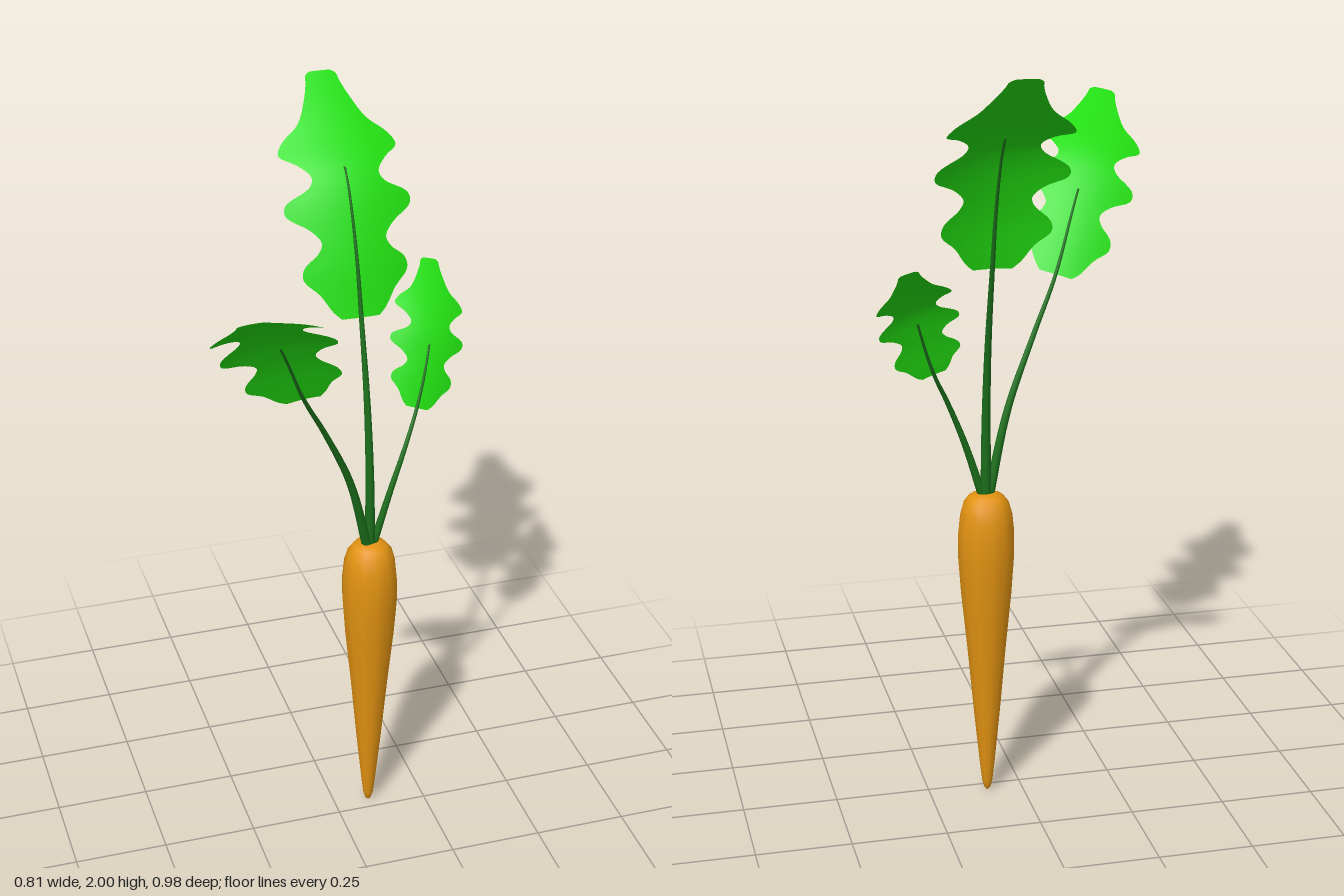
import * as THREE from 'three';

const V = (p) => new THREE.Vector3(...p);
const material = (color, side = THREE.FrontSide) => new THREE.MeshStandardMaterial({ color, side });

// Half-width of a full-size leaf along its length: [position, half-width], three pairs of lobes
const OUTLINE = [[0, 0.05], [0.03, 0.07], [0.1, 0.1], [0.16, 0.137], [0.21, 0.132], [0.26, 0.095], [0.3, 0.085],
  [0.35, 0.11], [0.41, 0.163], [0.46, 0.16], [0.51, 0.1], [0.55, 0.088], [0.61, 0.115], [0.67, 0.155],
  [0.72, 0.14], [0.78, 0.092], [0.88, 0.06], [0.95, 0.045], [0.985, 0.04], [1, 0.028]];
const outlineCurve = new THREE.CatmullRomCurve3(OUTLINE.map(([v, w]) => new THREE.Vector3(w, v, 0)));

// Part of a curve between two parameters, as a new curve
function subCurve(curve, a, b, n = 16) {
  return new THREE.CatmullRomCurve3(
    Array.from({ length: n + 1 }, (_, i) => curve.getPoint(a + (b - a) * i / n)));
}

// Round stalk that thins from r0 to r1
function taperedTube(curve, r0, r1) {
  const rows = 28, sides = 8;
  const geo = new THREE.TubeGeometry(curve, rows, 1, sides, false);
  const pos = geo.attributes.position, p = new THREE.Vector3();
  for (let i = 0; i <= rows; i++) {
    const c = curve.getPointAt(i / rows);
    const r = r1 + (r0 - r1) * (1 - i / rows) ** 1.3;
    for (let j = 0; j <= sides; j++) {
      const k = i * (sides + 1) + j;
      p.fromBufferAttribute(pos, k).sub(c).multiplyScalar(r).add(c);
      pos.setXYZ(k, p.x, p.y, p.z);
    }
  }
  return geo;
}

// Lobed sheet following a midrib curve; its sides droop away from the midrib
function leafBlade(curve, across, scale) {
  const rows = 76, cols = 10;
  const geo = new THREE.PlaneGeometry(1, 1, cols, rows);
  const pos = geo.attributes.position;
  for (let i = 0; i <= rows; i++) {
    const o = outlineCurve.getPoint(i / rows);
    const v = THREE.MathUtils.clamp(o.y, 0, 1);
    const c = curve.getPointAt(v), t = curve.getTangentAt(v);
    const w = across.clone().addScaledVector(t, -across.dot(t)).normalize();
    const up = w.clone().cross(t);
    for (let j = 0; j <= cols; j++) {
      const d = o.x * scale * (j / cols * 2 - 1);
      const p = c.clone().addScaledVector(w, d).addScaledVector(up, -1.2 * d * d / scale);
      // rows run from tip to base so the upper face is the front
      pos.setXYZ((rows - i) * (cols + 1) + j, p.x, p.y, p.z);
    }
  }
  geo.computeVertexNormals();
  return geo;
}

// Each path runs from the crown to the leaf tip; the blade begins at point `start`
const LEAVES = [
  { name: 'tallLeaf', scale: 1, across: [1, 0, 0], start: 3, rib: 0.55,
    path: [[0.095, 0.83, -0.035], [0.095, 1.05, -0.04], [0.095, 1.25, -0.066], [0.095, 1.47, -0.12],
      [0.095, 1.64, -0.168], [0.095, 1.8, -0.245], [0.095, 1.9, -0.355], [0.095, 2, -0.485]] },
  { name: 'smallLeaf', scale: 0.62, across: [0.96, -0.28, 0.02], start: 3, rib: 0.5,
    path: [[0.1, 0.83, -0.035], [0.15, 0.99, -0.04], [0.198, 1.11, -0.06], [0.24, 1.2, -0.095],
      [0.275, 1.3, -0.13], [0.305, 1.4, -0.18], [0.342, 1.52, -0.31]] },
  { name: 'frontLeaf', scale: 0.86, across: [-0.95, -0.19, -0.27], start: 3, rib: 0.45,
    path: [[0.09, 0.83, -0.035], [0.03, 1.06, 0], [-0.05, 1.24, 0.05], [-0.125, 1.385, 0.11],
      [-0.19, 1.54, 0.185], [-0.25, 1.66, 0.27], [-0.35, 1.795, 0.485]] },
];

export function createModel() {
  const model = new THREE.Group();
  const orange = material(0xe39312);
  const stemGreen = material(0x1b6e1b);
  const leafGreen = material(0x22dd11, THREE.DoubleSide);

  // Root
  const profile = [[0, 0], [0.008, 0.008], [0.014, 0.03], [0.02, 0.08], [0.035, 0.23], [0.052, 0.42], [0.068, 0.58],
    [0.075, 0.68], [0.075, 0.74], [0.07, 0.79], [0.06, 0.825], [0.045, 0.845], [0.025, 0.853], [0, 0.853]];
  const root = new THREE.Mesh(
    new THREE.LatheGeometry(profile.map(([r, y]) => new THREE.Vector2(r, y)), 12), orange);
  root.name = 'root';
  root.position.set(0.095, 0, -0.035);
  model.add(root);

  // Stalks and leaves
  for (const { name, scale, across, start, rib, path } of LEAVES) {
    const curve = new THREE.CatmullRomCurve3(path.map(V));
    const u = start / (path.length - 1);
    const group = new THREE.Group();
    group.name = name;
    const stalk = new THREE.Mesh(
      taperedTube(subCurve(curve, 0, u + (1 - u) * rib), 0.015 * Math.sqrt(scale), 0.003), stemGreen);
    stalk.name = 'stalk';
    const blade = new THREE.Mesh(leafBlade(subCurve(curve, u, 1), V(across), scale), leafGreen);
    blade.name = 'blade';
    group.add(stalk, blade);
    model.add(group);
  }
  return model;
}
